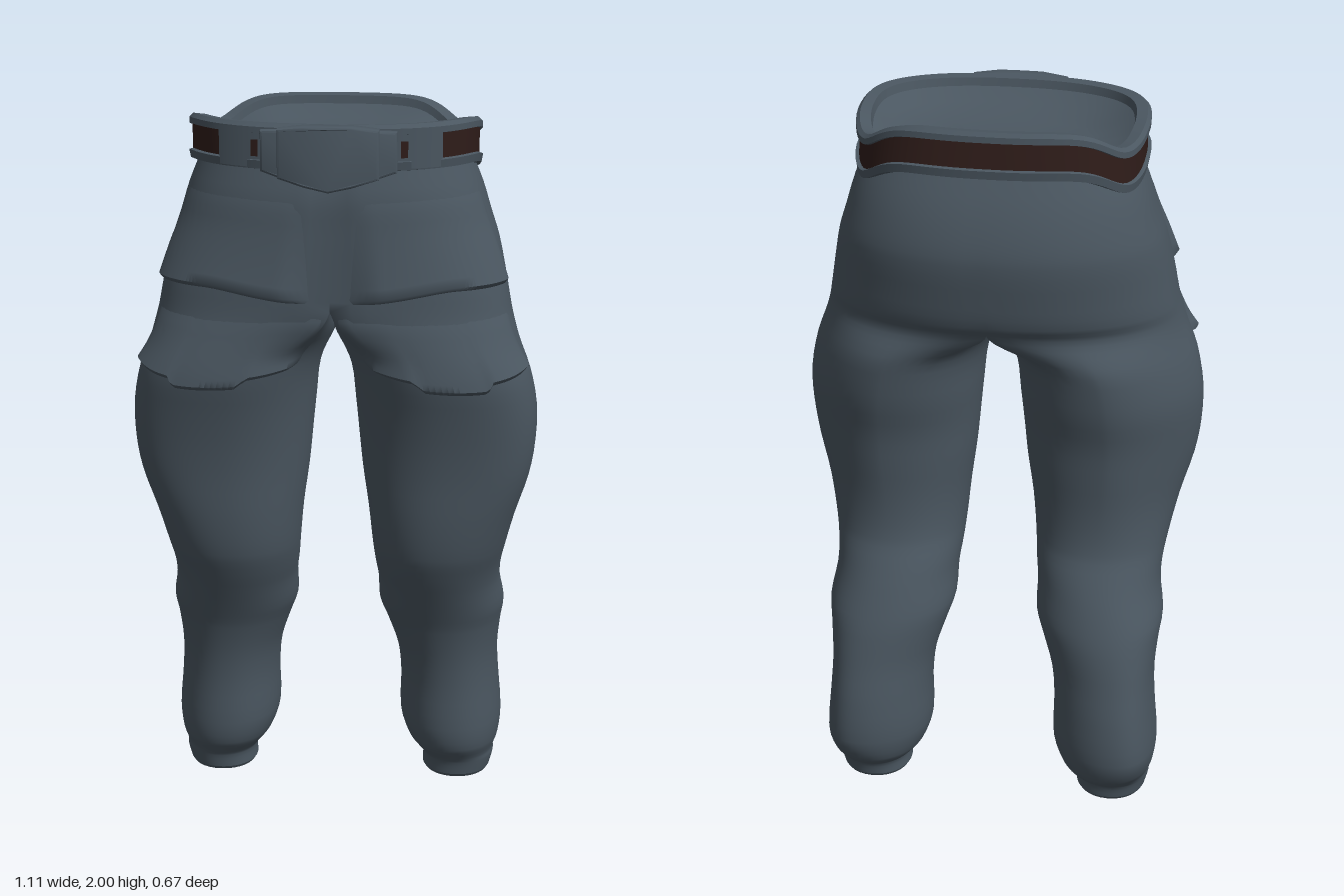
import * as THREE from 'three';
import { mergeVertices, toCreasedNormals } from 'three/addons/utils/BufferGeometryUtils.js';

const { smoothstep, lerp } = THREE.MathUtils;
const cloth = new THREE.MeshStandardMaterial({ color: 0x4a5660, side: THREE.DoubleSide });
cloth.name = 'slate cloth';
const leather = new THREE.MeshStandardMaterial({ color: 0x2e1c19, side: THREE.DoubleSide });
leather.name = 'dark brown leather';

// One trouser half by height: y, inner x, outer x, back z, front z
const PROFILE = [
  [0.01, 0.25, 0.45, -0.24, -0.02], [0.05, 0.25, 0.46, -0.25, -0.012],
  [0.07, 0.235, 0.46, -0.275, 0.0], [0.11, 0.205, 0.473, -0.315, 0.028],
  [0.18, 0.182, 0.48, -0.338, 0.04], [0.3, 0.182, 0.47, -0.33, 0.04],
  [0.4, 0.172, 0.465, -0.31, 0.05], [0.5, 0.14, 0.473, -0.29, 0.075],
  [0.56, 0.12, 0.48, -0.272, 0.1], [0.64, 0.118, 0.467, -0.24, 0.138],
  [0.7, 0.11, 0.468, -0.212, 0.167], [0.77, 0.103, 0.48, -0.18, 0.195],
  [0.88, 0.092, 0.505, -0.171, 0.213], [1.0, 0.075, 0.54, -0.18, 0.222],
  [1.1, 0.065, 0.555, -0.19, 0.235], [1.2, 0.055, 0.555, -0.213, 0.255],
  [1.3, 0.043, 0.535, -0.225, 0.278], [1.38, 0.01, 0.505, -0.232, 0.281],
  [1.43, -0.02, 0.49, -0.238, 0.283], [1.47, -0.035, 0.48, -0.262, 0.285],
  [1.55, -0.05, 0.465, -0.278, 0.286], [1.65, -0.05, 0.443, -0.291, 0.287],
  [1.72, -0.05, 0.42, -0.281, 0.287], [1.8, -0.05, 0.395, -0.254, 0.286],
  [1.88, -0.05, 0.362, -0.215, 0.268],
];

// Smooth interpolation of the profile rows at a height
function rowAt(y) {
  const n = PROFILE.length - 1;
  let i = 0;
  while (i < n - 1 && y > PROFILE[i + 1][0]) i++;
  const p = k => PROFILE[Math.min(n, Math.max(0, k))];
  const [A, B, C, D] = [p(i - 1), p(i), p(i + 1), p(i + 2)];
  const h = C[0] - B[0], t = Math.min(1, Math.max(0, (y - B[0]) / h));
  return [1, 2, 3, 4].map(c => {
    const m0 = (C[c] - A[c]) / (C[0] - A[0]) * h, m1 = (D[c] - B[c]) / (D[0] - B[0]) * h;
    const t2 = t * t, t3 = t2 * t;
    return (2 * t3 - 3 * t2 + 1) * B[c] + (t3 - 2 * t2 + t) * m0 + (3 * t2 - 2 * t3) * C[c] + (t3 - t2) * m1;
  });
}

const pw = (v, n) => Math.sign(v) * Math.pow(Math.abs(v), 2 / n);

// Half-body surface: a round leg that turns into half of the hips above the crotch
function surface(a, y, off = 0) {
  const [xi, xo, zb, zf] = rowAt(y);
  const c = Math.cos(a), s = Math.sin(a);
  const cz = (zb + zf) / 2, rz = (zf - zb) / 2;
  const back = 0.5 - 0.5 * s; // the seat closes lower than the front
  const w = smoothstep(y, lerp(1.35, 1.33, back), lerp(1.51, 1.44, back));
  // calves swell backwards and outwards, thighs and hips bulge forwards on the outside
  const calf = 0.035 * smoothstep(y, 0.06, 0.18) * (1 - smoothstep(y, 0.4, 0.75));
  const upper = smoothstep(y, 0.7, 1.05);
  const thigh = 0.05 * upper * (1 - smoothstep(y, 1.5, 1.86));
  const n = c > 0 && s < 0 ? lerp(2.1, 1.75, upper) : 2.1; // leaner at the outer back
  const legX = (xi + xo) / 2 + ((xo - xi) / 2 + off) * pw(c, n) + calf * Math.max(0, -s) ** 2;
  const legZ = cz + (rz + off) * pw(s, n) + thigh * Math.max(0, c) ** 2;
  const b = a * 0.75, wall = Math.abs(b) >= Math.PI / 2 - 1e-6;
  const hipX = wall ? 0 : (xo + off) * pw(Math.cos(b), 2.4);
  const hipZ = cz + (wall ? (rz + off) * Math.sign(a) * (Math.PI - Math.abs(a)) * 3 / Math.PI
    : (rz + off) * pw(Math.sin(b), 2.4) + thigh * Math.cos(b) ** 2);
  const x = Math.max(0, lerp(legX, hipX, w));
  let z = lerp(legZ, hipZ, w);
  if (z > cz) z -= 0.012 * w * Math.exp(-((x / 0.03) ** 2)); // fly seam
  return [x < 1e-4 ? 0 : x, y, z];
}

// Grid of points; rows run upwards, columns from +x towards +z.
// Mirroring adds the same sheet on the other side of x = 0.
function sheet(rows, cols, fn, mirror = false, crease = 0) {
  const pos = [], idx = [];
  for (const s of mirror ? [1, -1] : [1]) {
    const base = pos.length / 3;
    for (let i = 0; i <= rows; i++) for (let j = 0; j <= cols; j++) {
      const [x, y, z] = fn(i, j);
      pos.push(s * x, y, z);
    }
    for (let i = 0; i < rows; i++) for (let j = 0; j < cols; j++) {
      const p = base + i * (cols + 1) + j, q = p + cols + 1;
      for (const t of [[p, q, p + 1], [p + 1, q, q + 1]]) {
        if (mirror && t.every(k => Math.abs(pos[3 * k]) < 1e-4)) continue; // no wall inside
        idx.push(...(s > 0 ? t : [t[0], t[2], t[1]]));
      }
    }
  }
  let g = new THREE.BufferGeometry();
  g.setAttribute('position', new THREE.Float32BufferAttribute(pos, 3));
  g.setIndex(idx);
  g = mergeVertices(g, 1e-4);
  g.computeVertexNormals();
  return crease ? toCreasedNormals(g, crease) : g;
}

// Waistband: oval with a dip behind each hip, leaning inwards at the back
function beltPoint(a, off, dy, flat = 0) {
  const f = Math.asin(Math.max(-1, Math.min(1, Math.sin(a))));
  const top = 1.988 - 0.06 * Math.exp(-(((f + 0.45) / (f > -0.45 ? 0.45 : 0.35)) ** 2));
  const o = off - 0.015 * Math.max(0, -Math.sin(a)) * smoothstep(dy, -0.11, 0);
  return [(0.385 + o) * pw(Math.cos(a), 2.4), lerp(top + dy, 1.905, flat),
    0.025 + (0.27 + o) * pw(Math.sin(a), 2.4)];
}

export function createModel() {
  const group = new THREE.Group();
  const add = (name, geo, mat = cloth) => {
    const m = new THREE.Mesh(geo, mat);
    m.name = name;
    group.add(m);
  };

  // Legs and hips in one smooth skin
  const heights = [];
  for (let k = 0; k < PROFILE.length - 1; k++)
    for (const t of [0, 1 / 3, 2 / 3]) heights.push(lerp(PROFILE[k][0], PROFILE[k + 1][0], t));
  heights.push(1.88);
  add('trousers', sheet(heights.length - 1, 60,
    (i, j) => surface((j / 60) * Math.PI * 2 - Math.PI, heights[i]), true));

  // Cuff undersides with a shallow recess
  const cuff = [[0, 0.022], [0.45, 0.02], [0.62, 0.01], [0.82, 0.001], [0.94, 0], [1, 0.01]];
  add('cuffBottoms', sheet(cuff.length - 1, 32, (i, j) => {
    const [s, y] = cuff[i], a = (j / 32) * Math.PI * 2;
    return [0.35 + 0.1 * s * pw(Math.cos(a), 2.1), y, -0.13 + 0.11 * s * pw(Math.sin(a), 2.1)];
  }, true, 0.8));

  // Draped front flaps, flared at the hem with a rounded lip
  function flap(name, a0, a1, top, hem, flare) {
    const rows = 13, cols = 44;
    add(name, sheet(rows, cols, (i, j) => {
      const u = j / cols, a = lerp(a0, a1, u), yb = hem(u);
      const mask = smoothstep(u, 0, 0.11) * (1 - smoothstep(u, 0.86, 1));
      if (i === 0) return surface(a, yb - 0.004, -0.012);
      if (i === 1) return surface(a, yb - 0.004, -0.005 + mask * flare * 0.8);
      const t = 1 - (i - 2) / (rows - 2);
      return surface(a, lerp(top, yb + 0.008, t), -0.005 + mask * (0.007 * smoothstep(t, 0, 0.3) + flare * t * t));
    }, true, 1.0));
  }
  flap('upperFlaps', 0.2, 2.06, 1.84, u => 1.56 - 0.035 * smoothstep(u, 0.5, 1), 0.023);
  flap('lowerFlaps', 0.15, 2.5, 1.5,
    u => 1.345 - 0.04 * Math.sin(Math.PI * u)
      - 0.022 * smoothstep(u, 0.36, 0.4) * (1 - smoothstep(u, 0.66, 0.7)), 0.026);

  // Grooved waistband and the sunken lining: offset, height below the top, flattening
  const band = [
    [-0.04, -0.12, 0], [0.004, -0.11, 0], [0.008, -0.088, 0], [-0.008, -0.084, 0],
    [-0.008, -0.022, 0], [0.006, -0.018, 0], [0.006, -0.002, 0], [-0.004, 0.008, 0],
    [-0.033, 0.004, 0], [-0.038, -0.018, 0], [-0.08, -0.035, 0.3], [-0.15, -0.05, 0.8], [-0.27, -0.05, 1],
  ];
  add('waistband', sheet(band.length - 1, 96,
    (i, j) => beltPoint((j / 96) * Math.PI * 2, ...band[i]), false, 0.7));

  // Strips lying in the groove, mirrored to both sides
  const strip = (name, a0, a1, off, lo, hi, mat) => add(name, sheet(1, 40,
    (i, j) => beltPoint(lerp(a0, a1, j / 40), off, i ? hi : lo), true), mat);
  strip('belt', -Math.PI / 2, 0.79, -0.002, -0.086, -0.02, leather);
  strip('frontBand', 0.79, Math.PI / 2, 0.004, -0.088, -0.016, cloth);
  strip('beltLoops', 0.83, 1.08, 0.012, -0.105, -0.004, cloth);
  strip('beltSlots', 1.1, 1.155, 0.007, -0.078, -0.035, leather);

  // Buckle panels with a pointed lower edge, bent to follow the waist
  function panel(name, outline, z, depth) {
    const left = [...outline].reverse().filter(([x]) => x > 0).map(([x, y]) => [-x, y]);
    const s = new THREE.Shape([...outline, ...left].map(([x, y]) => new THREE.Vector2(x, y)));
    const g = new THREE.ExtrudeGeometry(s, {
      depth, bevelEnabled: true, bevelSize: 0.006, bevelThickness: 0.006, bevelSegments: 2 });
    const p = g.attributes.position;
    for (let i = 0; i < p.count; i++) p.setZ(i, p.getZ(i) + z - 0.5 * p.getX(i) ** 2);
    add(name, toCreasedNormals(g, 0.9));
  }
  panel('bucklePlate', [[0, 1.83], [0.08, 1.85], [0.17, 1.88], [0.17, 1.975], [0.08, 1.98], [0, 1.98]], 0.288, 0.028);
  panel('buckle', [[0, 1.832], [0.06, 1.845], [0.125, 1.865], [0.125, 1.982], [0.06, 1.99], [0, 1.99]], 0.295, 0.034);

  return group;
}
